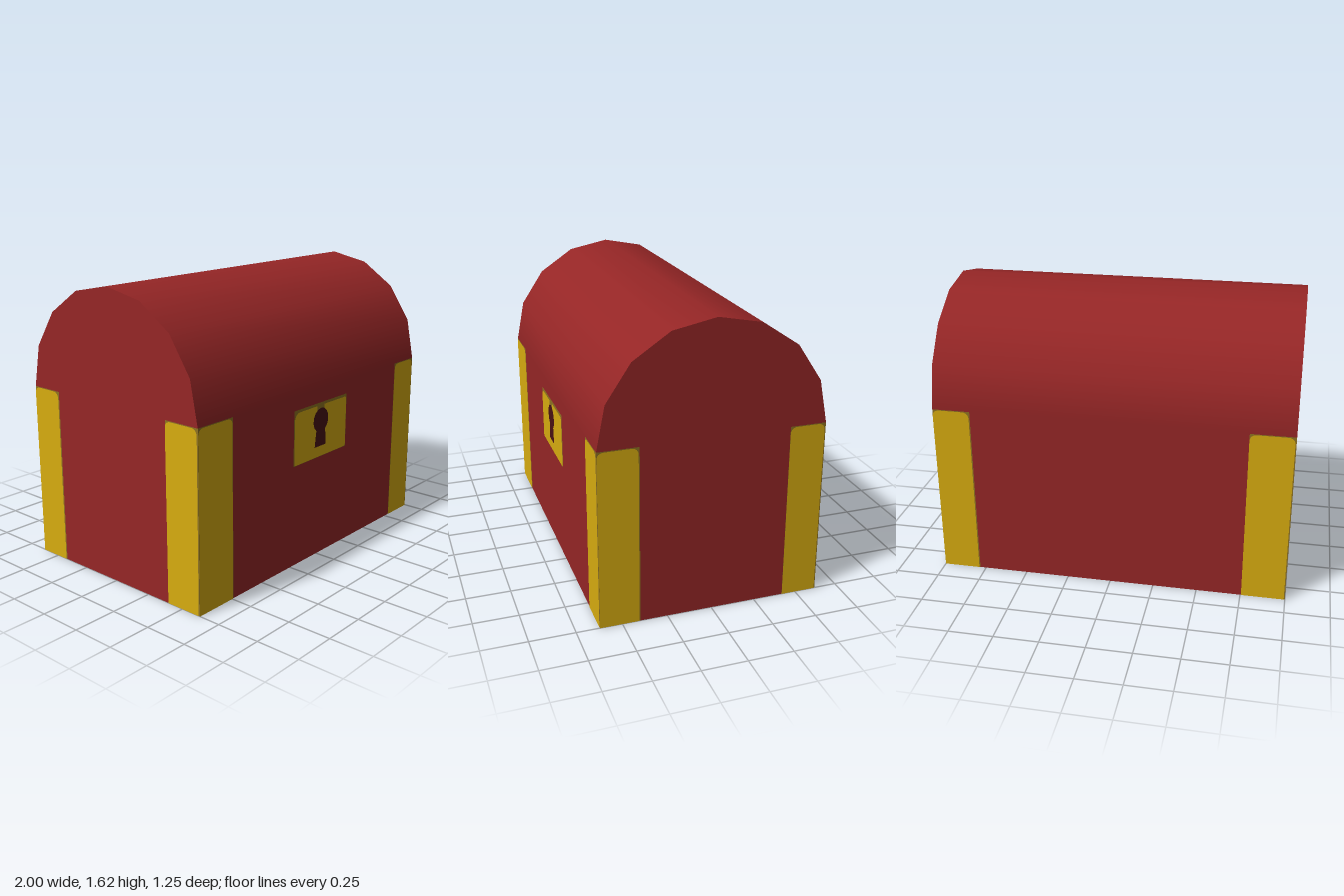
import * as THREE from 'three';

const HALF_W = 1, HALF_D = 0.622, WALL_H = 1, LAYER = 0.002;

const material = (name, color) => new THREE.MeshStandardMaterial({ name, color });

// Rectangle with separate corner radii for top-left, top-right and bottom
function roundedRect(x0, x1, y0, y1, tl = 0, tr = tl, b = 0) {
  const s = new THREE.Shape();
  s.moveTo(x0 + b, y0);
  s.lineTo(x1 - b, y0);
  if (b) s.quadraticCurveTo(x1, y0, x1, y0 + b);
  s.lineTo(x1, y1 - tr);
  if (tr) s.quadraticCurveTo(x1, y1, x1 - tr, y1);
  s.lineTo(x0 + tl, y1);
  if (tl) s.quadraticCurveTo(x0, y1, x0, y1 - tl);
  s.lineTo(x0, y0 + b);
  if (b) s.quadraticCurveTo(x0, y0, x0 + b, y0);
  return s;
}

export function createModel() {
  const red = material('red wood', 0x962626);
  const gold = material('gold trim', 0xd8ad10);
  const bronze = material('worn bronze', 0x8f7322);
  const dark = material('keyhole dark', 0x481113);

  const chest = new THREE.Group();
  chest.name = 'treasureChest';

  function add(parent, name, geometry, mat, z = 0) {
    const mesh = new THREE.Mesh(geometry, mat);
    mesh.name = name;
    mesh.position.z = z;
    parent.add(mesh);
    return mesh;
  }
  const plate = (parent, name, shape, mat, layer = 0) =>
    add(parent, name, new THREE.ShapeGeometry(shape, 6), mat, layer * LAYER);

  // One wall: wood in the middle, a gold strip with worn corners at each end
  function wall(name, half, leftEdge, rightEdge) {
    const g = new THREE.Group();
    g.name = name;
    plate(g, name + 'Wood', roundedRect(leftEdge, rightEdge, 0, WALL_H), red);
    for (const [side, a, b] of [['Left', -half, leftEdge], ['Right', rightEdge, half]]) {
      plate(g, name + side + 'Backing', roundedRect(a, b, 0, WALL_H), bronze);
      plate(g, name + side + 'Strip', roundedRect(a, b - 0.006, 0, WALL_H - 0.004, 0.04), gold, 1);
    }
    chest.add(g);
    return g;
  }

  const front = wall('frontWall', HALF_W, -0.74, 0.79);
  front.position.z = HALF_D;

  const back = wall('backWall', HALF_W, -0.785, 0.755);
  back.position.z = -HALF_D;
  back.rotation.y = Math.PI;

  const plusSide = wall('leftWall', HALF_D, -0.4, 0.42);
  plusSide.position.x = HALF_W;
  plusSide.rotation.y = Math.PI / 2;

  const minusSide = wall('rightWall', HALF_D, -0.42, 0.4);
  minusSide.position.x = -HALF_W;
  minusSide.rotation.y = -Math.PI / 2;

  // Underside with gold bands along its long edges
  const base = new THREE.Group();
  base.name = 'underside';
  base.rotation.x = Math.PI / 2;
  plate(base, 'undersideWood', roundedRect(-HALF_W, HALF_W, -0.42, 0.4), red);
  plate(base, 'undersideBackBand', roundedRect(-HALF_W, HALF_W, -HALF_D, -0.42), gold);
  plate(base, 'undersideFrontBand', roundedRect(-HALF_W, HALF_W, 0.4, HALF_D), gold);
  chest.add(base);

  // Barrel lid: half of a sixteen-sided cylinder, smooth along the curve
  const lidGeometry = new THREE.CylinderGeometry(HALF_D, HALF_D, 2 * HALF_W, 8, 1, false, 0, Math.PI);
  lidGeometry.rotateZ(Math.PI / 2);
  const lid = add(chest, 'lid', lidGeometry, red);
  lid.position.y = WALL_H;
  lid.scale.y = 0.625 / HALF_D;

  // Lock plate and keyhole
  const lock = new THREE.Group();
  lock.name = 'lock';
  lock.position.z = HALF_D;
  plate(lock, 'lockBacking', roundedRect(-0.235, 0.265, 0.597, 0.917), bronze, 1);
  plate(lock, 'lockPlate', roundedRect(-0.23, 0.26, 0.6, 0.902, 0.05, 0.02, 0.015), gold, 2);
  plate(lock, 'lockNotch', roundedRect(-0.025, 0.04, 0.87, 0.91), bronze, 2.5);
  const hole = new THREE.Shape();
  hole.moveTo(-0.045, 0.662);
  hole.lineTo(0.06, 0.662);
  hole.lineTo(0.053, 0.755);
  hole.absarc(0.01, 0.815, 0.071, -0.95, Math.PI + 0.95, false);
  hole.lineTo(-0.035, 0.74);
  plate(lock, 'keyhole', hole, dark, 3);
  chest.add(lock);

  return chest;
}
